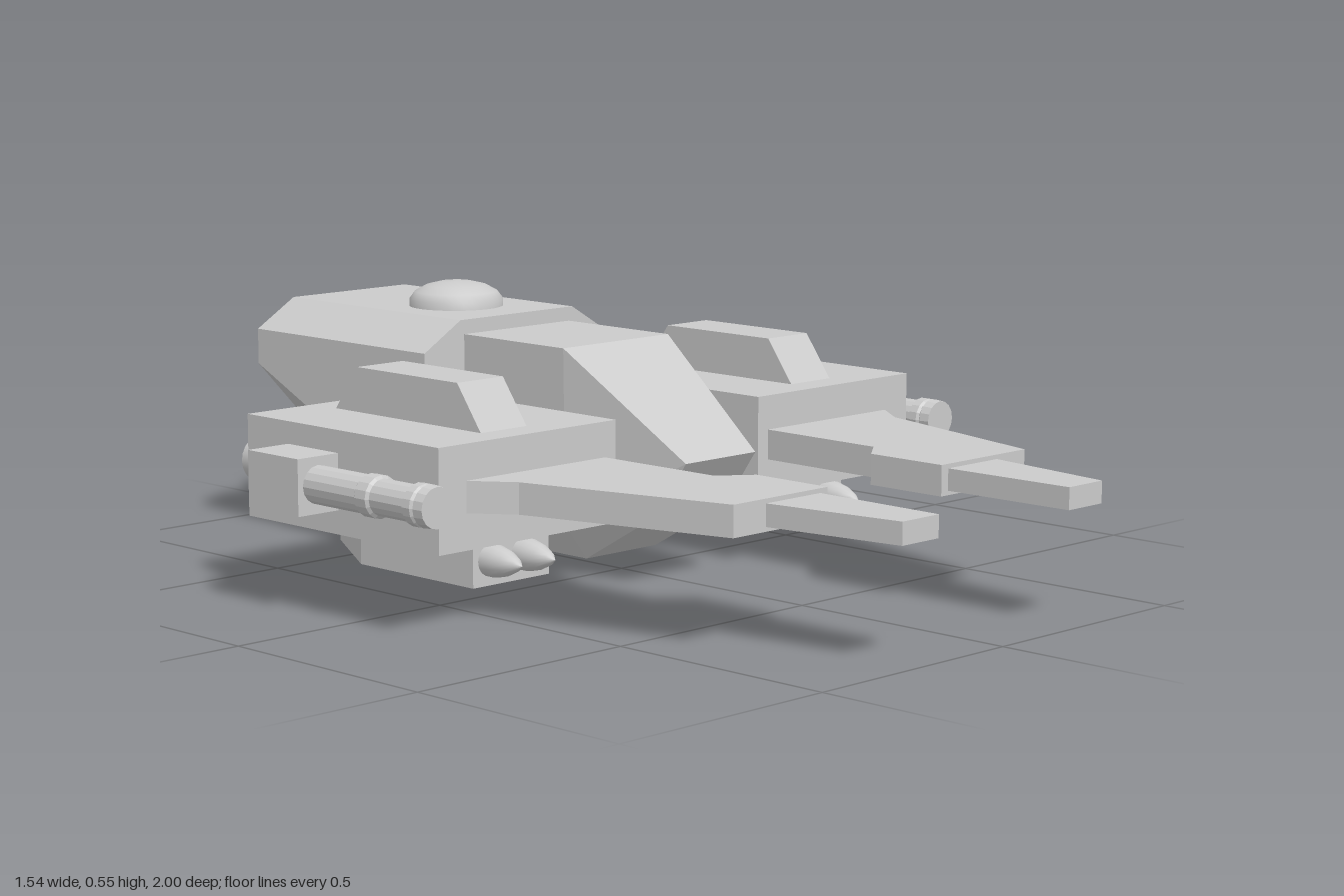
import * as THREE from 'three';
import { ConvexGeometry } from 'three/addons/geometries/ConvexGeometry.js';

export function createModel() {
  const model = new THREE.Group();
  const smooth = new THREE.MeshStandardMaterial({ color: 0xcccccc, side: THREE.DoubleSide });
  const flat = new THREE.MeshStandardMaterial({ color: 0xcccccc, flatShading: true });

  const add = (name, geometry, material = flat) => {
    const mesh = new THREE.Mesh(geometry, material);
    mesh.name = name;
    model.add(mesh);
    return mesh;
  };
  // Box from its min and max corners
  const box = (name, x0, x1, y0, y1, z0, z1) =>
    add(name, new THREE.BoxGeometry(Math.abs(x1 - x0), y1 - y0, z1 - z0))
      .position.set((x0 + x1) / 2, (y0 + y1) / 2, (z0 + z1) / 2);
  // Faceted solid from half-width points [x, y, z], mirrored about x = cx
  const solid = (name, points, cx = 0) =>
    add(name, new ConvexGeometry(points.flatMap(([x, y, z]) =>
      [new THREE.Vector3(cx + x, y, z), new THREE.Vector3(cx - x, y, z)])));
  // Turned part along z, profile as [radius, z]
  const turned = (name, profile, x, y, segments, material) => {
    const g = new THREE.LatheGeometry(profile.map(p => new THREE.Vector2(...p)), segments);
    g.rotateX(Math.PI / 2);
    add(name, g, material).position.set(x, y, 0);
  };
  // Flat plate from an outline of [x, z]
  const plate = (name, outline, s, y0, y1) => {
    const shape = new THREE.Shape(outline.map(([x, z]) => new THREE.Vector2(x * s, z)));
    const g = new THREE.ExtrudeGeometry(shape, { depth: y1 - y0, bevelEnabled: false });
    g.rotateX(Math.PI / 2);
    g.translate(0, y1, 0);
    add(name, g);
  };

  // Rear hull, chamfered, with a rising underside
  solid('rearHull', [
    [0.16, 0.5, -0.31], [0.26, 0.44, -0.31], [0.26, 0.11, -0.31], [0.16, 0, -0.31],
    [0.16, 0.5, -0.85], [0.26, 0.44, -0.85], [0.26, 0.365, -0.85], [0.16, 0.26, -0.85],
  ]);

  // Cockpit with sloping nose
  solid('cockpit', [
    [0.15, 0.47, -0.32], [0.15, 0.11, -0.32], [0.1, 0.035, -0.32],
    [0.15, 0.47, -0.015], [0.15, 0.11, -0.01], [0.1, 0.035, 0],
    [0.1, 0.265, 0.28], [0.1, 0.15, 0.2],
  ]);
  box('wingConnector', -0.22, 0.22, 0.2, 0.31, -0.32, -0.02);

  // Roof dome on a thin rim
  const dome = new THREE.LatheGeometry(
    [[0.1, 0.49], [0.1, 0.515], [0.088, 0.531], [0.064, 0.544], [0.035, 0.551], [0, 0.553]]
      .map(p => new THREE.Vector2(...p)), 32);
  add('roofDome', dome, smooth).position.z = -0.5;

  // Hollow tail nozzle
  turned('tailNozzle', [[0.03, -0.88], [0.04, -1], [0.05, -1], [0.066, -0.95],
    [0.08, -0.9], [0.088, -0.84]], 0, 0.365, 32, smooth);

  for (const s of [1, -1]) {
    // Wing block with raised hatch
    box('wingBlock', 0.205 * s, 0.67 * s, 0.15, 0.355, -0.375, 0.19);
    solid('wingHatch', [[0.06, 0.35, -0.31], [0.06, 0.445, -0.24],
      [0.06, 0.445, 0.055], [0.06, 0.35, 0.125]], 0.44 * s);

    // Forward prong with a thinner tip
    plate('prong', [[0.6, 0.18], [0.6, 0.19], [0.54, 0.27], [0.42, 0.71], [0.165, 0.71],
      [0.165, 0.53], [0.23, 0.48], [0.235, 0.18]], s, 0.222, 0.284);
    plate('prongTip', [[0.335, 0.7], [0.29, 1], [0.19, 1], [0.185, 0.7]], s, 0.231, 0.275);

    // Side gun: mount and ringed barrel
    box('gunMount', 0.66 * s, 0.77 * s, 0.198, 0.31, -0.25, -0.1);
    turned('gunBarrel', [[0, -0.11], [0.038, -0.11], [0.038, 0.05], [0.042, 0.055], [0.042, 0.085],
      [0.036, 0.09], [0.036, 0.12], [0.036, 0.185], [0.042, 0.19], [0.042, 0.21],
      [0.037, 0.215], [0.042, 0.22], [0.04, 0.243], [0, 0.243]], 0.72 * s, 0.255, 16, flat);

    // Rear thrusters
    for (const x of [0.335, 0.467, 0.6]) {
      const g = new THREE.CylinderGeometry(0.047, 0.047, 0.07, 20);
      g.rotateX(Math.PI / 2);
      add('thruster', g, smooth).position.set(x * s, 0.252, -0.39);
    }

    // Underslung pod with tapered tail and two missiles
    solid('missilePod', [[0.1, 0.16, 0.13], [0.1, 0.057, 0.13], [0.1, 0.16, -0.2],
      [0.1, 0.057, -0.2], [0.06, 0.12, -0.31], [0.06, 0.085, -0.31]], 0.43 * s);
    for (const x of [0.398, 0.485])
      turned('missile', [[0.032, 0.12], [0.032, 0.15], [0.025, 0.18], [0.013, 0.205], [0, 0.22]],
        x * s, 0.107, 16, smooth);
  }
  return model;
}
